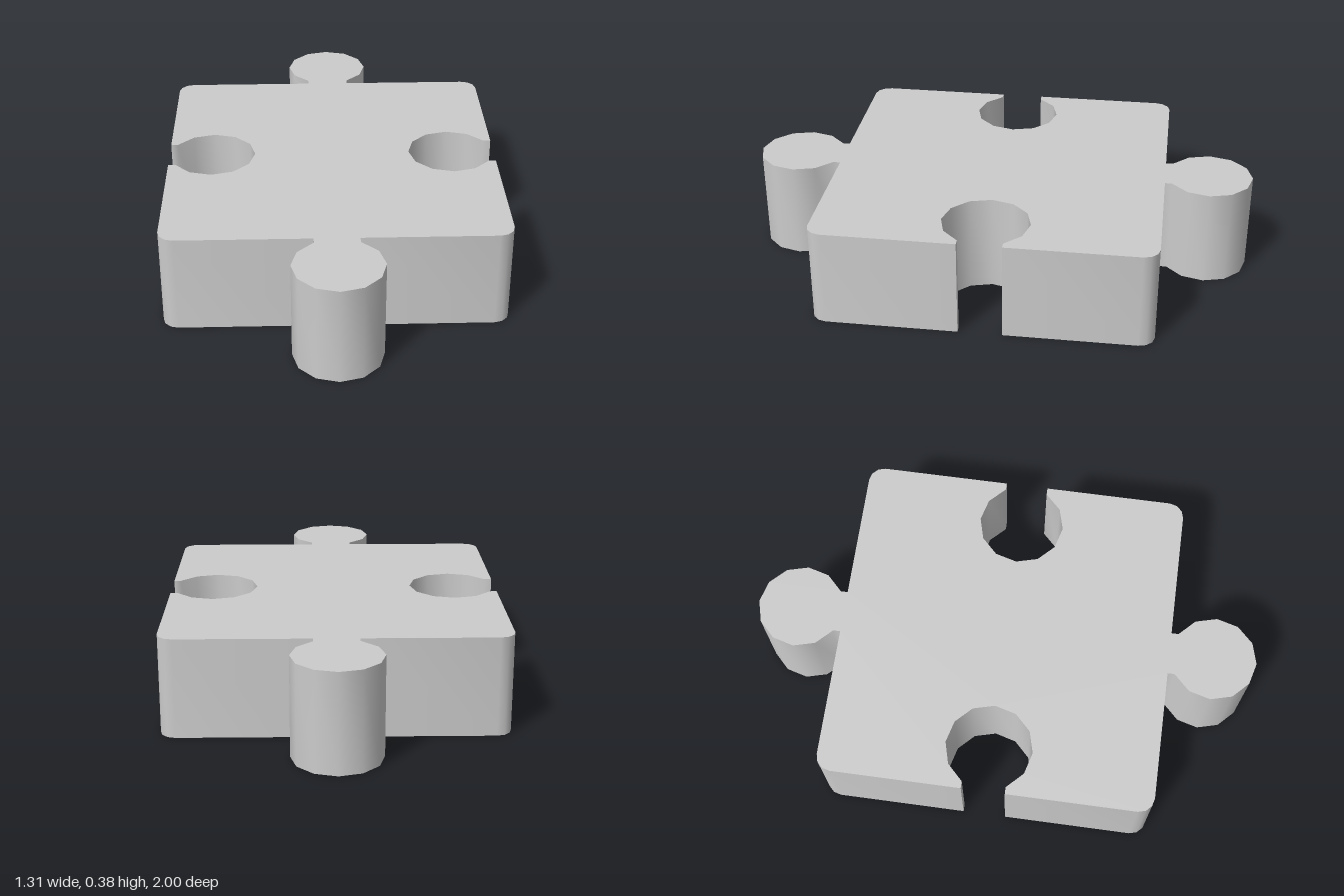
import * as THREE from 'three';
import { toCreasedNormals } from 'three/addons/utils/BufferGeometryUtils.js';

const HALF = 0.655;     // half width of the square body
const HEIGHT = 0.385;
const CORNER = 0.06;    // corner radius
const KNOB = 0.17;      // radius of knobs and sockets
const NECK = KNOB / 2;  // half width of the neck
const OFFSET = 0.175;   // distance from edge to knob centre

// Half-open outline of one side: u runs along the edge, v points outwards.
// sign = 1 gives a knob, -1 a socket.
function sidePoints(sign) {
  const points = [[-NECK, HALF]];
  for (let deg = -150; deg <= 150; deg += 30) {
    const a = THREE.MathUtils.degToRad(deg);
    points.push([KNOB * Math.sin(a), HALF + sign * (OFFSET + KNOB * Math.cos(a))]);
  }
  points.push([NECK, HALF]);

  // rounded corner at the end of the side
  const c = HALF - CORNER;
  for (let i = 0; i <= 3; i++) {
    const a = (i / 3) * Math.PI / 2;
    points.push([c + CORNER * Math.sin(a), c + CORNER * Math.cos(a)]);
  }
  return points;
}

export function createModel() {
  const group = new THREE.Group();
  group.name = 'puzzlePiece';

  // Four sides in turn: sockets left and right, knobs front and back
  const outline = [];
  for (let k = 0; k < 4; k++) {
    const a = k * Math.PI / 2;
    for (const [u, v] of sidePoints(k % 2 ? 1 : -1)) {
      outline.push(new THREE.Vector2(
        v * Math.cos(a) - u * Math.sin(a),
        v * Math.sin(a) + u * Math.cos(a)
      ));
    }
  }

  // Extrude upwards, smoothing the curved walls only
  const extruded = new THREE.ExtrudeGeometry(new THREE.Shape(outline), {
    depth: HEIGHT, bevelEnabled: false, steps: 1,
  });
  extruded.rotateX(-Math.PI / 2);
  const body = new THREE.Mesh(
    toCreasedNormals(extruded, THREE.MathUtils.degToRad(50)),
    new THREE.MeshStandardMaterial({ color: 0xcccccc })
  );
  body.name = 'body';
  group.add(body);
  return group;
}
